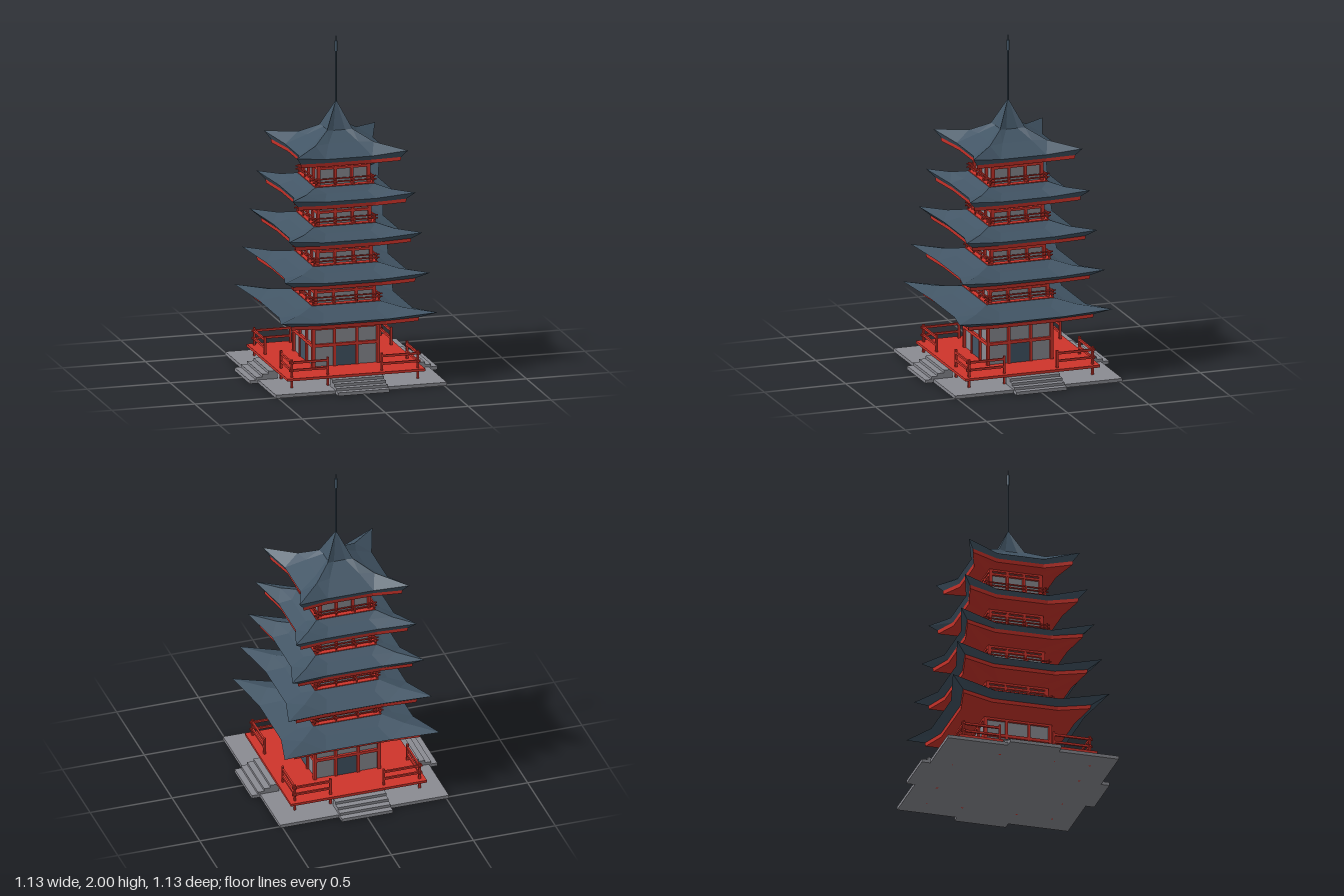
import * as THREE from 'three';

const mat = (name, color) => {
  const m = new THREE.MeshStandardMaterial({ color });
  m.name = name;
  return m;
};

export function createModel() {
  const slate = mat('slate blue', 0x425565);
  const red = mat('vermilion', 0xcf342b);
  const grey = mat('stone grey', 0x8a8b92);
  const root = new THREE.Group();

  // Box given by its centre x, bottom y, centre z and size
  const box = (parent, name, material, x, y, z, w, h, d) => {
    const m = new THREE.Mesh(new THREE.BoxGeometry(w, h, d), material);
    m.name = name;
    m.position.set(x, y + h / 2, z);
    parent.add(m);
    return m;
  };

  // Repeats a builder on all four sides of the tower
  const fourSides = (name, build) => {
    for (let i = 0; i < 4; i++) {
      const g = new THREE.Group();
      g.name = name;
      g.rotation.y = i * Math.PI / 2;
      build(g);
      root.add(g);
    }
  };

  // Square ring whose corners flare outwards and upwards
  const ring = (c, yc, m, ym, k) => {
    const pts = [];
    for (let i = 0; i < 4; i++) {
      for (const [x, y, z] of [[-k, ym, m], [k, ym, m], [c, yc, c]]) {
        const p = new THREE.Vector3(x, y, z);
        for (let j = 0; j < i; j++) p.set(p.z, p.y, -p.x);
        pts.push(p);
      }
    }
    return pts;
  };

  // Faceted skin through rings listed from the bottom up
  const loft = (name, material, rings) => {
    const pos = [];
    const tri = (...ps) => ps.forEach(p => pos.push(p.x, p.y, p.z));
    for (let r = 0; r + 1 < rings.length; r++) {
      for (let i = 0; i < 12; i++) {
        const j = (i + 1) % 12;
        const [a, b, c, d] = [rings[r][i], rings[r][j], rings[r + 1][j], rings[r + 1][i]];
        if (i % 3 === 2) { tri(a, b, d); tri(b, c, d); }
        else { tri(a, b, c); tri(a, c, d); }
      }
    }
    const geo = new THREE.BufferGeometry();
    geo.setAttribute('position', new THREE.Float32BufferAttribute(pos, 3));
    geo.computeVertexNormals();
    const mesh = new THREE.Mesh(geo, material);
    mesh.name = name;
    root.add(mesh);
  };

  // Stone base, stairs and raised deck
  box(root, 'baseSlab', grey, 0, 0, 0, 1.03, 0.02, 1.03);
  fourSides('stairs', g => {
    for (let i = 0; i < 4; i++) {
      const out = 0.566 - i * 0.038;
      box(g, 'step', grey, 0, 0, (out + 0.4) / 2, 0.31, 0.02 + i * 0.016, out - 0.4);
    }
  });
  box(root, 'deck', red, 0, 0.068, 0, 0.83, 0.015, 0.83);

  // Deck fence, open in front of the stairs
  fourSides('deckFence', g => {
    box(g, 'cornerPost', red, 0.38, 0, 0.38, 0.013, 0.188, 0.013);
    for (const s of [-1, 1]) {
      box(g, 'fencePost', red, s * 0.163, 0, 0.38, 0.013, 0.188, 0.013);
      for (const y of [0.117, 0.163]) {
        box(g, 'fenceRail', red, s * 0.276, y, 0.38, 0.24, 0.013, 0.011);
      }
    }
  });

  // Storeys: wall half width, bottom, top, inner post offset
  const storeys = [
    { w: 0.195, y0: 0.08, y1: 0.33, p: 0.068 },
    { w: 0.177, y0: 0.45, y1: 0.57, p: 0.068 },
    { w: 0.162, y0: 0.68, y1: 0.805, p: 0.056 },
    { w: 0.155, y0: 0.91, y1: 1.035, p: 0.052 },
    { w: 0.15, y0: 1.145, y1: 1.295, p: 0.05 },
  ];
  // Roofs: tip half width, tip height, fascia half width, soffit depth
  const roofs = [
    { t: 0.473, y: 0.43, f: 0.386, d: 0.118 },
    { t: 0.438, y: 0.661, f: 0.37, d: 0.11 },
    { t: 0.403, y: 0.895, f: 0.35, d: 0.107 },
    { t: 0.37, y: 1.128, f: 0.328, d: 0.107 },
    { t: 0.335, y: 1.373, f: 0.303, d: 0.092 },
  ];
  const balconies = [0, 0.2, 0.187, 0.179, 0.172];

  storeys.forEach(({ w, y0, y1, p }, i) => {
    const h = y1 - y0;
    box(root, 'wall', grey, 0, y0, 0, 2 * w - 0.01, h, 2 * w - 0.01);
    fourSides('timberFrame', g => {
      box(g, 'cornerPost', red, w, y0, w, 0.02, h, 0.02);
      for (const s of [-1, 1]) box(g, 'innerPost', red, s * p, y0, w, 0.016, h, 0.018);
      const top = roofs[i].y - roofs[i].d;
      box(g, 'topBeam', red, 0, top - 0.01, w, 2 * w, 0.016, 0.02);
      if (i === 0) {
        box(g, 'middleBeam', red, 0, 0.2, w, 2 * w, 0.018, 0.02);
        box(g, 'door', slate, 0, 0.083, w - 0.003, 0.12, 0.117, 0.009);
      } else {
        box(g, 'middleBeam', red, 0, top - 0.034, w, 2 * w, 0.014, 0.02);
      }
    });

    // Balcony around the upper storeys
    if (i > 0) {
      const b = balconies[i];
      const y = roofs[i - 1].y + 0.021;
      box(root, 'balconyFloor', red, 0, y - 0.004, 0, 2 * b + 0.015, 0.009, 2 * b + 0.015);
      fourSides('balconyRailing', g => {
        box(g, 'cornerPost', red, b, y, b, 0.008, 0.053, 0.008);
        for (const s of [-1, 1]) box(g, 'railPost', red, s * b / 3, y, b, 0.007, 0.045, 0.007);
        for (const dy of [0.022, 0.041]) {
          box(g, 'rail', red, 0, y + dy, b, 2 * b + 0.04, 0.007, 0.007);
        }
      });
    }
  });

  // Flared roofs with slate eaves, red fascia and sloping soffit
  roofs.forEach(({ t, y, f, d }, i) => {
    const k = t * 0.42;
    const m = t - 0.07;
    const fm = Math.min(f - 0.04, m - 0.015);
    const w = storeys[i].w;
    const eave = ring(t, y, m, y - 0.036, k);
    const fasciaTop = ring(f, y - 0.044, fm, y - 0.062, k);
    const fasciaBottom = ring(f - 0.003, y - 0.066, fm - 0.003, y - 0.084, k);
    loft('soffit', red, [ring(w, y - d, w, y - d, w * 0.6), fasciaBottom]);
    loft('fascia', red, [fasciaBottom, fasciaTop]);
    loft('eaveEdge', slate, [fasciaTop, eave]);
    if (i < 4) {
      const b = balconies[i + 1] + 0.006;
      const c = b + 0.4 * (t - b);
      loft('roof', slate, [
        eave,
        ring(c, y + 0.002, b + 0.4 * (m - b), y - 0.006, k * 0.8),
        ring(b, y + 0.022, b, y + 0.022, b * 0.6),
        ring(0.1, y + 0.022, 0.1, y + 0.022, 0.06),
      ]);
    } else {
      loft('topRoof', slate, [
        eave,
        ring(0.175, y + 0.025, 0.152, y + 0.025, 0.09),
        ring(0.077, 1.457, 0.066, 1.453, 0.035),
        ring(0.004, 1.61, 0.004, 1.61, 0.002),
      ]);
    }
  });

  // Spire with a small collar near the tip
  const spire = (name, r, y0, y1) => {
    const m = new THREE.Mesh(new THREE.CylinderGeometry(r, r, y1 - y0, 8), slate);
    m.name = name;
    m.position.y = (y0 + y1) / 2;
    root.add(m);
  };
  spire('spirePole', 0.006, 1.58, 1.93);
  spire('spireCollar', 0.01, 1.91, 1.97);
  spire('spireTip', 0.004, 1.96, 2);

  return root;
}
